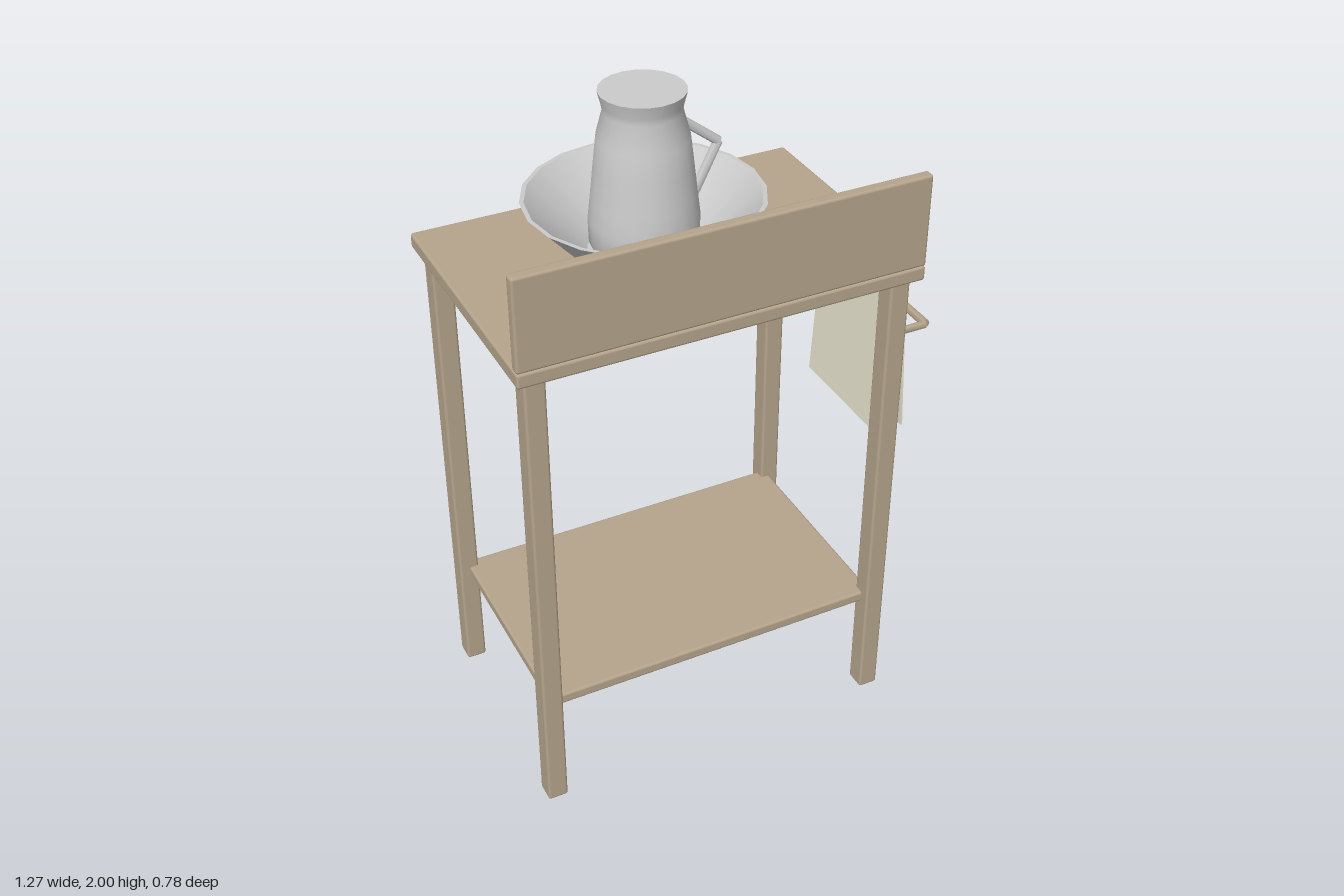
import * as THREE from 'three';
import { toCreasedNormals } from 'three/addons/utils/BufferGeometryUtils.js';
import { RoundedBoxGeometry } from 'three/addons/geometries/RoundedBoxGeometry.js';

const wood = new THREE.MeshStandardMaterial({ color: 0xb5a48c });
const grey = new THREE.MeshStandardMaterial({ color: 0xcccccc });
const cloth = new THREE.MeshStandardMaterial({ color: 0xe8e4d0 });

export function createModel() {
  const model = new THREE.Group();
  model.name = 'washstand';

  const add = (name, geometry, material, x = 0, y = 0, z = 0) => {
    const mesh = new THREE.Mesh(geometry, material);
    mesh.name = name;
    mesh.position.set(x, y, z);
    model.add(mesh);
    return mesh;
  };

  // Board given by its limits on each axis, with softened edges
  const board = (name, [x0, x1], [y0, y1], [z0, z1]) =>
    add(name, new RoundedBoxGeometry(x1 - x0, y1 - y0, z1 - z0, 2, 0.008), wood,
      (x0 + x1) / 2, (y0 + y1) / 2, (z0 + z1) / 2);

  // Straight rod between two points
  const rod = (name, from, to, radius, material, sides = 8) => {
    const a = new THREE.Vector3(...from), b = new THREE.Vector3(...to);
    const dir = b.clone().sub(a);
    const mesh = add(name, toCreasedNormals(
      new THREE.CylinderGeometry(radius, radius, dir.length(), sides), 0.9), material);
    mesh.position.copy(a).add(b).multiplyScalar(0.5);
    mesh.quaternion.setFromUnitVectors(new THREE.Vector3(0, 1, 0), dir.normalize());
    return mesh;
  };

  // Turned body from [radius, height] pairs
  const turned = (name, profile, sides) => add(name, toCreasedNormals(
    new THREE.LatheGeometry(profile.map(p => new THREE.Vector2(...p)), sides), 0.7),
    grey, -0.112, 0, 0);

  // Table: top, upright board, shelf and four legs
  board('tableTop', [-0.637, 0.528], [1.476, 1.52], [-0.388, 0.388]);
  board('splashBoard', [-0.637, 0.528], [1.52, 1.79], [0.355, 0.388]);
  board('shelf', [-0.58, 0.47], [0.335, 0.37], [-0.335, 0.335]);
  for (const x of [-0.582, 0.47])
    for (const z of [-0.332, 0.332])
      board('leg', [x - 0.03, x + 0.03], [0, 1.476], [z - 0.032, z + 0.032]);

  // Wash bowl, outside up to the rim and down the inside
  turned('bowl', [[0, 1.521], [0.165, 1.521], [0.327, 1.7], [0.315, 1.7],
    [0.155, 1.535], [0, 1.535]], 20);

  // Pitcher with a flat closed top
  turned('pitcher', [[0, 1.537], [0.13, 1.537], [0.148, 1.57], [0.15, 1.64], [0.143, 1.7],
    [0.133, 1.79], [0.124, 1.87], [0.104, 1.945], [0.107, 1.965], [0.116, 2], [0, 2]], 20);

  // Angular pitcher handle
  const handle = [[0.005, 1.885, 0], [0.105, 1.808, 0], [0.025, 1.65, 0]];
  rod('handleUpper', handle[0], handle[1], 0.013, grey);
  rod('handleLower', handle[1], handle[2], 0.013, grey);

  // Towel rail on two arms
  for (const z of [-0.333, 0.327])
    rod('railArm', [0.49, 1.287, z], [0.585, 1.287, z], 0.011, wood);
  rod('towelRail', [0.588, 1.287, -0.333], [0.588, 1.287, 0.327], 0.012, wood);

  // Towel folded over the rail, a thin strip extruded along z
  const strip = new THREE.Shape([[0.539, 0.842], [0.545, 0.842], [0.571, 1.303], [0.603, 1.303],
    [0.629, 0.842], [0.635, 0.842], [0.609, 1.31], [0.565, 1.31]]
    .map(p => new THREE.Vector2(...p)));
  add('towel', new THREE.ExtrudeGeometry(strip, { depth: 0.388, bevelEnabled: false }),
    cloth, 0, 0, -0.197);

  return model;
}
